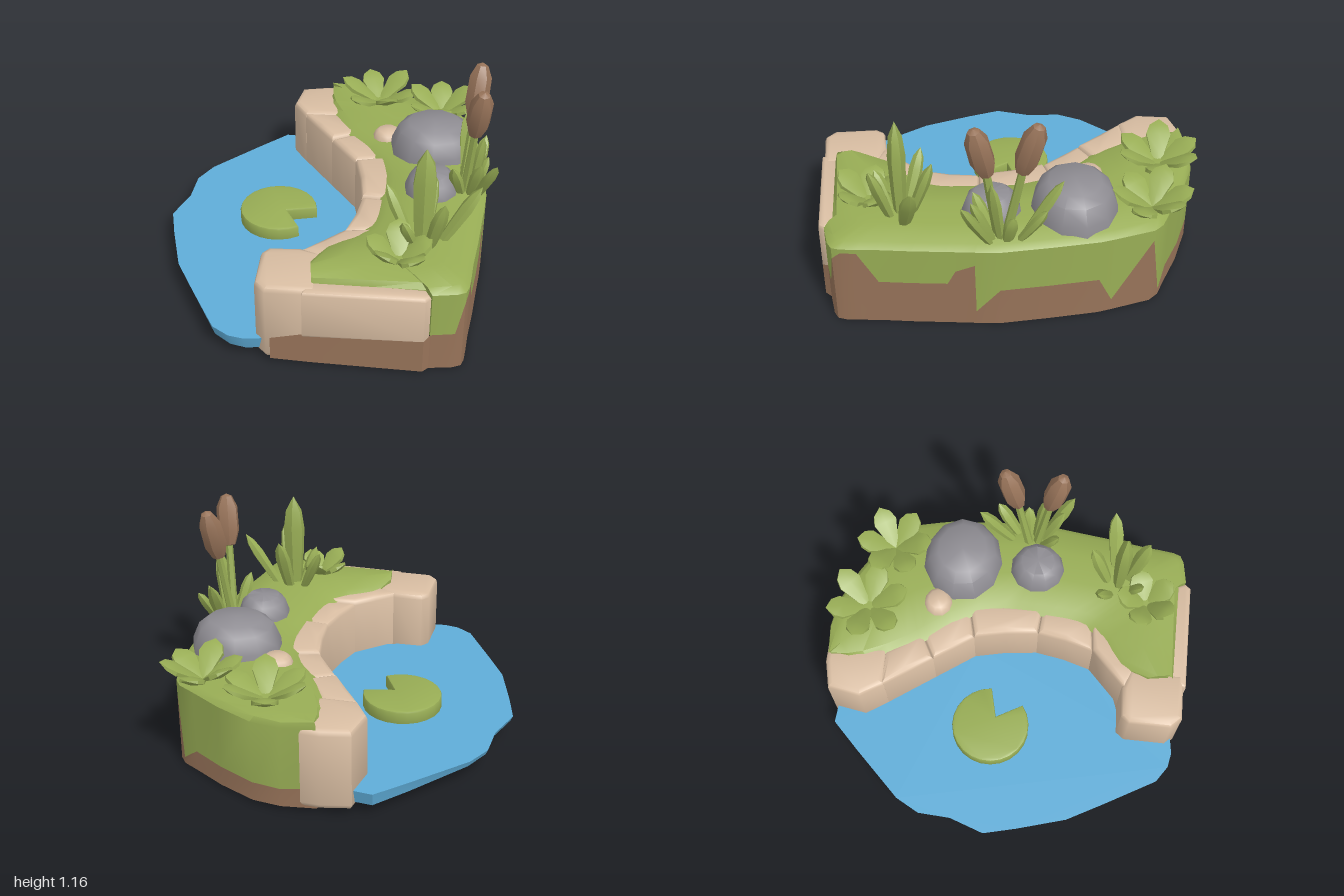
import * as THREE from 'three';
import { toCreasedNormals } from 'three/addons/utils/BufferGeometryUtils.js';

const mat = (name, color) => Object.assign(new THREE.MeshStandardMaterial({ color }), { name });
const GRASS = mat('grass green', 0x98ad55);
const SOIL = mat('soil brown', 0x977359);
const STONE = mat('sandstone', 0xd8bda2);
const WATER = mat('water blue', 0x5fadd8);
const ROCK = mat('rock grey', 0x8f8d93);
const V = (x, y, z) => new THREE.Vector3(x, y, z);

function add(group, name, geometry, material, crease = 0.6) {
  const mesh = new THREE.Mesh(toCreasedNormals(geometry, crease), material);
  mesh.name = name;
  group.add(mesh);
  return mesh;
}

// Skin between rows of points of equal length
function loft(rows) {
  const n = rows[0].length, index = [];
  for (let r = 0; r < rows.length - 1; r++)
    for (let i = 0; i < n - 1; i++) {
      const b = r * n + i, t = b + n;
      index.push(b + 1, b, t, b + 1, t, t + 1);
    }
  const g = new THREE.BufferGeometry().setFromPoints(rows.flat());
  g.setIndex(index);
  return g;
}

// Upright block with bevelled edges over an [x, z] outline
function slab(outline, y0, y1, bevel) {
  const shape = new THREE.Shape(outline.map(([x, z]) => new THREE.Vector2(x, -z)));
  const g = new THREE.ExtrudeGeometry(shape, {
    depth: y1 - y0 - 2 * bevel, bevelEnabled: bevel > 0, bevelThickness: bevel,
    bevelSize: bevel, bevelOffset: -bevel, bevelSegments: 2, steps: 1,
  });
  return g.rotateX(-Math.PI / 2).translate(0, y0 + bevel, 0);
}

// Spindle from base to tip; profile holds [radius factor, position along]
function spindle(base, tip, width, flat, profile, sides = 6) {
  const dir = tip.clone().sub(base), len = dir.length();
  const g = new THREE.LatheGeometry(profile.map(([r, t]) => new THREE.Vector2(r * width, t * len)), sides);
  g.scale(1, 1, flat);
  const y = dir.normalize();
  const x = Math.abs(y.y) > 0.985 ? V(1, 0, 0) : y.clone().cross(V(0, 1, 0)).normalize();
  const z = x.clone().cross(y).normalize();
  x.crossVectors(y, z);
  return g.applyMatrix4(new THREE.Matrix4().makeBasis(x, y, z).setPosition(base));
}
const BLADE = [[0.6, 0], [0.85, 0.3], [1, 0.65], [0.75, 0.85], [0, 1]];
const BROAD = [[0.3, 0], [0.6, 0.3], [1, 0.65], [0.75, 0.85], [0, 1]];
const HEAD = [[0, 0], [0.6, 0.04], [1, 0.3], [0.95, 0.75], [0.5, 0.95], [0, 1]];

function buildBank(g) {
  // Outer rim from back to front: x, z, height of the soil line, 1 where stone faces the rim
  const rim = [
    [-0.08, -0.97, 0.14], [0.1, -0.99, 0.12], [0.25, -0.97, 0.12], [0.45, -0.88, 0.12], [0.62, -0.78, 0.12],
    [0.71, -0.73, 0.04], [0.75, -0.68, 0.4], [0.8, -0.47, 0.07], [0.815, -0.4, 0.22], [0.835, -0.15, 0.22],
    [0.85, 0.1, 0.22], [0.838, 0.22, 0.08], [0.837, 0.225, 0.38], [0.825, 0.32, 0.34], [0.82, 0.36, 0.26],
    [0.8, 0.53, 0.26], [0.775, 0.7, 0.26], [0.765, 0.8, 0.44], [0.755, 0.88, 0.44], [0.74, 0.92, 0.4],
    [0.7, 0.94, 0.22], [0.58, 0.96, 0.22], [0.55, 0.99, 0.2, 1], [0.3, 0.99, 0.22, 1], [0, 0.99, 0.21, 1],
    [-0.2, 0.985, 0.16, 1],
  ];
  const bottom = (x) => 0.03 * (0.85 - x) / 1.1;
  const inner = new THREE.CatmullRomCurve3([
    [-0.06, -0.96], [-0.07, -0.8], [0.03, -0.52], [0.2, -0.3], [0.29, -0.1], [0.29, 0.15], [0.26, 0.4],
    [0.14, 0.55], [0, 0.66], [-0.02, 0.75], [0, 0.89]].map(([x, z]) => V(x, 0, z)));
  const run = [0];
  for (let i = 1; i < rim.length; i++)
    run.push(run[i - 1] + Math.hypot(rim[i][0] - rim[i - 1][0], rim[i][1] - rim[i - 1][1]));
  const shore = run.map((d) => inner.getPointAt(d / run.at(-1)));

  // Soil underside and lower wall
  add(g, 'soil', loft([
    shore.map((p) => V(p.x, bottom(p.x), p.z)),
    rim.map(([x, z]) => V(x, bottom(x), z)),
    rim.map(([x, z, y]) => V(x, y, z)),
  ]), SOIL);

  // Grass wall and gently domed top
  const edge = rim.map(([x, z, y, faced]) => faced ? V(Math.max(x, 0), y, z - 0.07) : V(x, y, z));
  const rows = [edge];
  for (const [u, y] of [[1, 0.465], [0.94, 0.492], [0.7, 0.51], [0.4, 0.512], [0.1, 0.49], [0, 0.455]])
    rows.push(edge.map((p, i) => V(shore[i].x, y, shore[i].z).lerp(V(p.x, y, p.z), u)));
  add(g, 'grass', loft(rows), GRASS);

  // Shore stones between successive cuts: inner x, z, outer x, z
  const cuts = [
    [-0.21, -0.665, -0.01, -0.67], [-0.02, -0.4, 0.12, -0.48], [0.13, -0.19, 0.32, -0.24],
    [0.19, 0.16, 0.34, 0.17], [0.12, 0.47, 0.3, 0.45], [-0.08, 0.66, 0.06, 0.73],
  ];
  for (let i = 0; i < cuts.length - 1; i++) {
    const [a, b, c, d] = cuts[i], [e, f, h, k] = cuts[i + 1];
    const mid = [(a + e) / 2 + (i > 1 && i < 4 ? 0.01 : 0), (b + f) / 2];
    add(g, 'shoreStone', slab([[a, b], mid, [e, f], [h, k], [c, d]], 0.025, 0.47 - 0.008 * (i % 2), 0.03), STONE, 0.9);
  }
  add(g, 'backEndStone', slab([[-0.25, -0.95], [-0.1, -0.985], [0, -0.985], [0.01, -0.66], [-0.2, -0.65], [-0.28, -0.77]],
    0.03, 0.475, 0.03), STONE, 0.9);
  add(g, 'frontEndStone', slab([[-0.24, 0.655], [-0.08, 0.645], [0.03, 0.68], [0.03, 0.98], [-0.22, 0.985], [-0.275, 0.93], [-0.275, 0.7]],
    0.03, 0.47, 0.03), STONE, 0.9);
  add(g, 'frontStone', slab([[-0.04, 0.88], [0.55, 0.91], [0.575, 0.96], [0.55, 0.99], [-0.04, 0.995]], 0.18, 0.465, 0.02), STONE, 0.9);
}

function buildWater(g) {
  const geo = slab([
    [-0.2, -0.93], [-0.35, -0.94], [-0.5, -0.79], [-0.75, -0.53], [-0.82, -0.4], [-0.83, -0.22], [-0.895, -0.03],
    [-0.85, 0.15], [-0.77, 0.42], [-0.66, 0.62], [-0.5, 0.9], [-0.41, 0.96], [-0.33, 0.975], [-0.22, 0.96], [-0.2, 0.68],
    [-0.03, 0.62], [0.16, 0.44], [0.22, 0.16], [0.18, -0.18], [0.03, -0.4], [-0.16, -0.65]], 0.06, 0.135, 0);
  // Underside thins and draws in toward the outer edge
  const p = geo.attributes.position;
  for (let i = 0; i < p.count; i++) {
    if (p.getY(i) > 0.1) continue;
    const x = p.getX(i);
    p.setXYZ(i, x * 0.985, 0.06 + 0.045 * THREE.MathUtils.smoothstep(-x, 0.3, 0.88), p.getZ(i) * 0.98);
  }
  add(g, 'water', geo, WATER);

  // Lily pad with a notch
  const pad = [[-0.24, -0.03]];
  for (let i = 0; i <= 20; i++) {
    const a = THREE.MathUtils.degToRad(52 + i * 15.2);
    pad.push([-0.29 + 0.215 * Math.cos(a), -0.055 + 0.215 * Math.sin(a)]);
  }
  add(g, 'lilyPad', slab(pad, 0.12, 0.207, 0.012), GRASS);
}

function buildRocks(g) {
  const dome = [[1, 0], [0.97, 0.4], [0.82, 0.78], [0.6, 0.96], [0, 1]];
  for (const [name, x, z, rx, rz, top, m] of [
    ['largeRock', 0.56, -0.3, 0.245, 0.225, 0.675, ROCK], ['smallRock', 0.555, 0.12, 0.145, 0.155, 0.62, ROCK],
    ['pebble', 0.3, -0.41, 0.09, 0.085, 0.54, STONE]]) {
    const geo = new THREE.LatheGeometry(dome.map(([r, y]) => new THREE.Vector2(r, y)), 11);
    geo.scale(rx, top - 0.45, rz).translate(x, 0.45, z);
    add(g, name, geo, m, 0.7);
  }
}

function buildPlants(g) {
  // Tall leaves growing from one root
  const clump = (name, root, tips) => tips.forEach(([x, y, z, w = 0.038], i) => {
    const base = root.clone().lerp(V(x, root.y, z), 0.3);
    add(g, name, spindle(base, V(x, y, z), w, 0.7, BLADE), GRASS);
  });
  clump('tallLeaf', V(0.52, 0.47, 0.58), [
    [0.52, 1.04, 0.58, 0.065], [0.33, 0.75, 0.46], [0.62, 0.82, 0.72, 0.045], [0.56, 0.81, 0.41, 0.045],
    [0.8, 0.8, 0.52, 0.045], [0.42, 0.69, 0.7]]);
  clump('reedLeaf', V(0.74, 0.46, 0.07), [
    [0.88, 0.77, 0.29], [0.81, 0.85, 0.14], [0.73, 0.79, -0.22], [0.84, 0.7, -0.13], [0.66, 0.7, 0.22],
    [0.85, 0.67, 0.04], [0.8, 0.74, 0.24]]);

  // Cattails
  for (const [root, neck, tip] of [
    [V(0.73, 0.47, 0.1), V(0.76, 0.87, 0.155), V(0.79, 1.155, 0.22)],
    [V(0.72, 0.47, 0.06), V(0.755, 0.87, -0.01), V(0.785, 1.16, -0.09)]]) {
    add(g, 'cattailStem', spindle(root, neck.clone().lerp(tip, 0.1), 0.025, 1, [[1, 0], [0.8, 1]]), GRASS);
    add(g, 'cattailHead', spindle(neck, tip, 0.062, 1, HEAD, 7), SOIL);
  }

  // Low broad-leaved rosettes
  for (const [x, z, r, n, turn] of [[0.23, -0.79, 0.23, 6, 0.2], [0.6, -0.69, 0.21, 6, 0.5], [0.41, 0.74, 0.17, 5, 0.9]])
    for (let i = 0; i < n; i++) {
      const a = turn + i * 2 * Math.PI / n;
      const tip = V(x + r * Math.cos(a), 0.595 + 0.03 * (i % 2), z + r * Math.sin(a));
      add(g, 'broadLeaf', spindle(V(x, 0.49, z), tip, 0.075, 0.3, BROAD), GRASS);
    }
}

export function createModel() {
  const model = new THREE.Group();
  model.name = 'pondBank';
  for (const [name, build] of [['bank', buildBank], ['pond', buildWater], ['rocks', buildRocks], ['plants', buildPlants]]) {
    const part = new THREE.Group();
    part.name = name;
    build(part);
    model.add(part);
  }
  return model;
}
